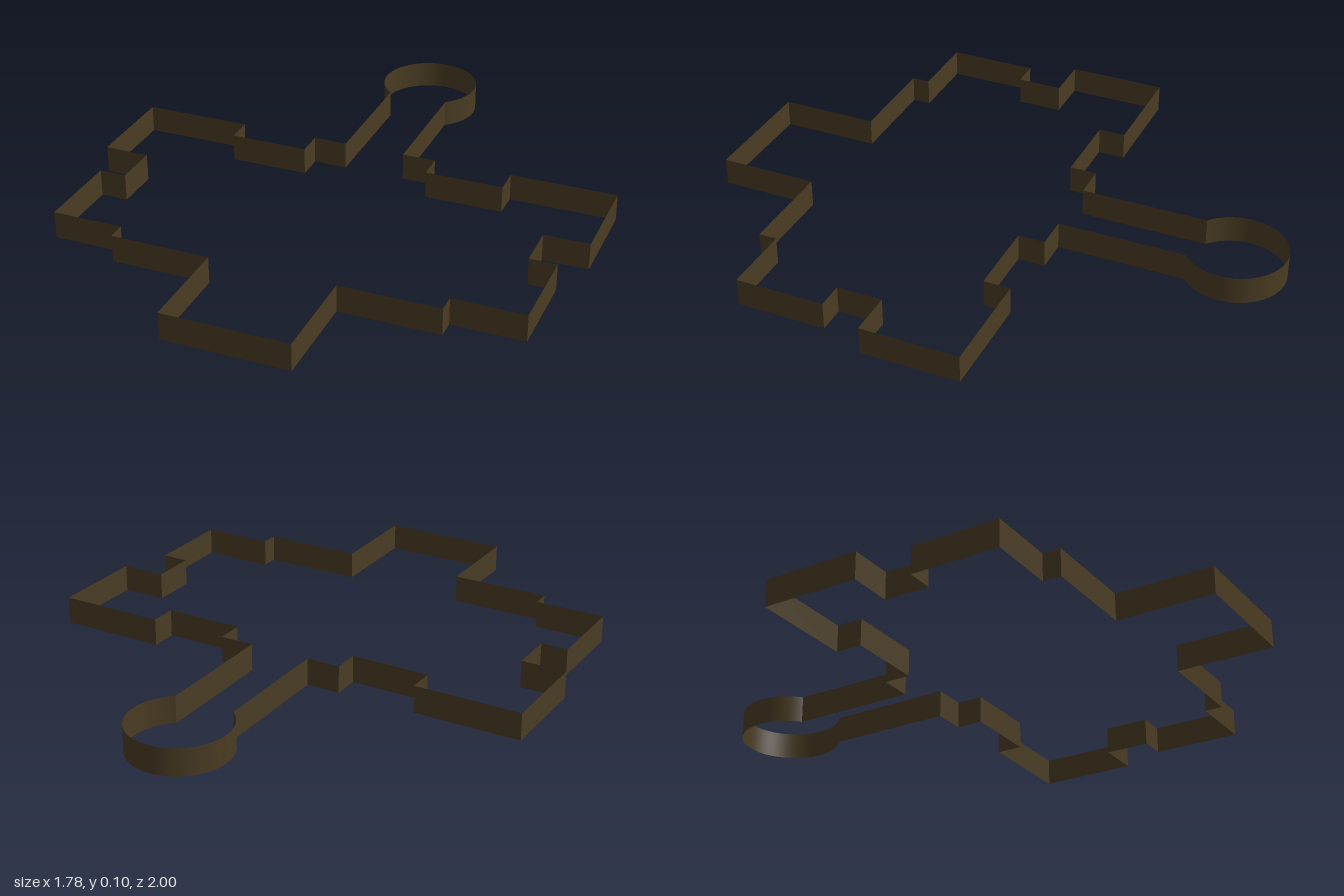
import * as THREE from 'three';
import { mergeGeometries } from 'three/addons/utils/BufferGeometryUtils.js';

const HEIGHT = 0.097;
const RING_RADIUS = 0.176;
const RING_Z = -1 + RING_RADIUS;
const NECK_X = 0.11;

// One upright flat panel from a to b, given as [x, z]; its front faces outward.
function panel([ax, az], [bx, bz]) {
  const dx = bx - ax, dz = bz - az;
  return new THREE.PlaneGeometry(Math.hypot(dx, dz), HEIGHT)
    .rotateY(Math.atan2(-dz, dx))
    .translate((ax + bx) / 2, HEIGHT / 2, (az + bz) / 2);
}

export function createModel() {
  const group = new THREE.Group();
  group.name = 'outlineBand';
  const darkBrown = new THREE.MeshStandardMaterial({ color: 0x4a3c23, side: THREE.DoubleSide });
  darkBrown.name = 'darkBrown';

  // Stepped outline of the +x half, from the front edge to the neck
  const gap = Math.asin(NECK_X / RING_RADIUS);
  const neckEnd = RING_Z + RING_RADIUS * Math.cos(gap);
  const half = [
    [0.222, 1], [0.222, 0.652], [0.574, 0.652], [0.574, 0.588],
    [0.826, 0.588], [0.826, 0.273], [0.73, 0.273], [0.73, 0.112],
    [0.89, 0.112], [0.89, -0.235], [0.51, -0.235], [0.51, -0.14],
    [0.23, -0.14], [0.23, -0.235], [NECK_X, -0.235], [NECK_X, neckEnd],
  ];
  const outline = [...half.map(([x, z]) => [-x, z]).reverse(), ...half];

  // Straight walls and neck
  const panels = outline.slice(1).map((p, i) => panel(outline[i], p));
  const wall = new THREE.Mesh(mergeGeometries(panels), darkBrown);
  wall.name = 'steppedWall';
  group.add(wall);

  // Round loop at the back, open towards the neck
  const loop = new THREE.Mesh(
    new THREE.CylinderGeometry(RING_RADIUS, RING_RADIUS, HEIGHT, 48, 1, true, gap, 2 * (Math.PI - gap)),
    darkBrown
  );
  loop.name = 'roundLoop';
  loop.position.set(0, HEIGHT / 2, RING_Z);
  group.add(loop);

  return group;
}
